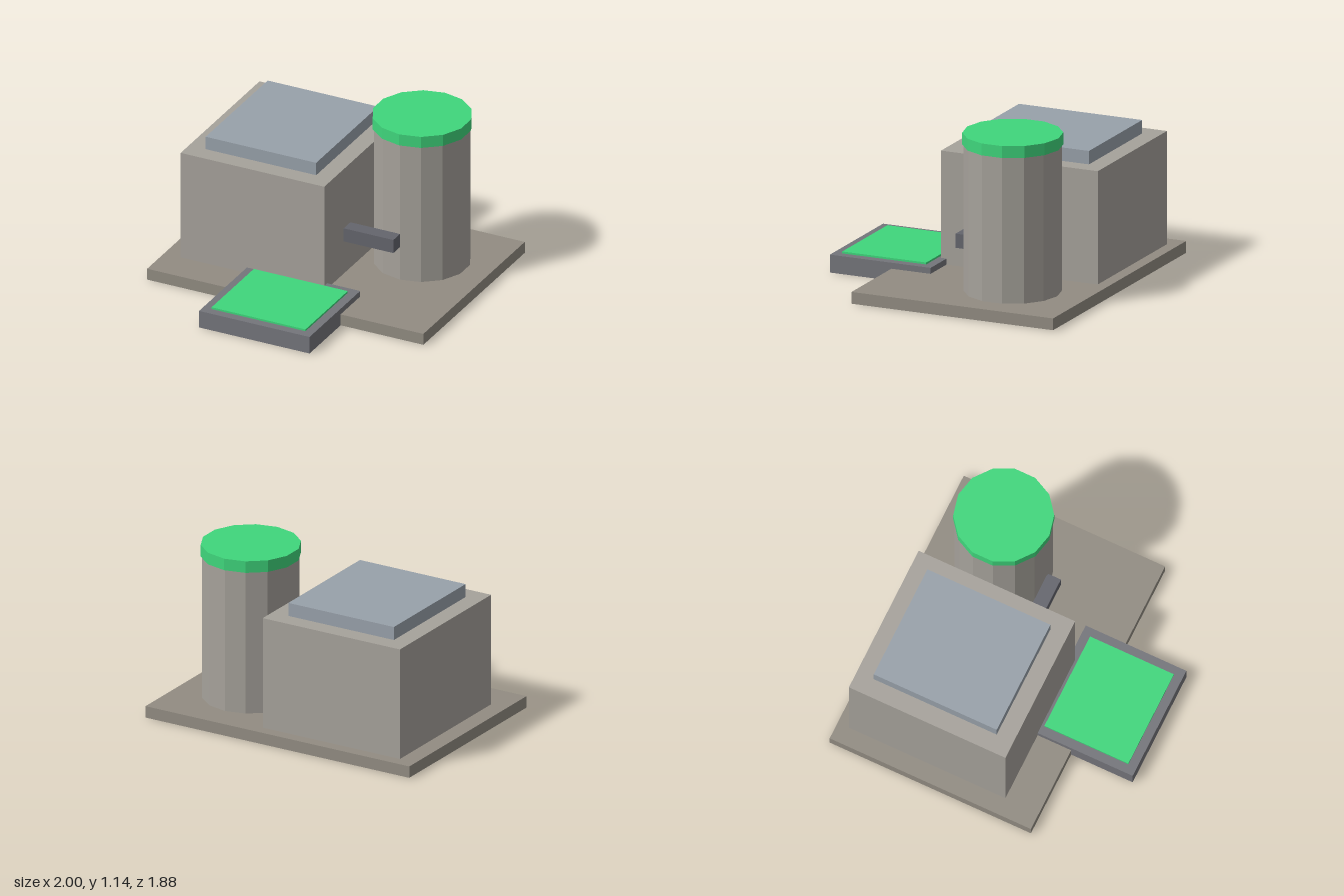
import * as THREE from 'three';

const paint = (color) => new THREE.MeshStandardMaterial({ color, flatShading: true });

export function createModel() {
  const model = new THREE.Group();
  const concrete = paint(0x928c82);
  const wall = paint(0xa6a29b);
  const roofing = paint(0x98a1aa);
  const darkMetal = paint(0x74757b);
  const pipeMetal = paint(0x64656d);
  const green = paint(0x3fd67c);

  const add = (name, geometry, material, x, y, z) => {
    const mesh = new THREE.Mesh(geometry, material);
    mesh.name = name;
    mesh.position.set(x, y, z);
    model.add(mesh);
  };

  // Box given by its extents along each axis
  const box = (name, material, [x0, x1], [y0, y1], [z0, z1]) =>
    add(name, new THREE.BoxGeometry(x1 - x0, y1 - y0, z1 - z0), material,
      (x0 + x1) / 2, (y0 + y1) / 2, (z0 + z1) / 2);

  // Fourteen-sided drum standing on the tank axis
  const drum = (name, material, radius, y0, y1) =>
    add(name, new THREE.CylinderGeometry(radius, radius, y1 - y0, 14), material,
      0.52, (y0 + y1) / 2, -0.424);

  // Ground slab, a hair above the pad's underside
  box('baseSlab', concrete, [-1, 1], [0.001, 0.08], [-0.94, 0.5]);

  // Main building with raised roof
  box('building', wall, [-0.88, 0.16], [0.08, 0.84], [-0.86, 0.26]);
  box('roofPanel', roofing, [-0.76, 0.04], [0.84, 0.93], [-0.74, 0.14]);

  // Storage tank and lid
  drum('tank', wall, 0.318, 0.08, 1.06);
  drum('tankLid', green, 0.326, 1.06, 1.14);

  // Duct from the building to the tank
  box('connectingDuct', pipeMetal, [0.15, 0.52], [0.315, 0.41], [-0.11, -0.015]);

  // Front loading pad
  box('loadingPad', darkMetal, [-0.4, 0.4], [0, 0.12], [0.22, 0.94]);
  box('padSurface', green, [-0.34, 0.34], [0.12, 0.133], [0.28, 0.88]);

  return model;
}
